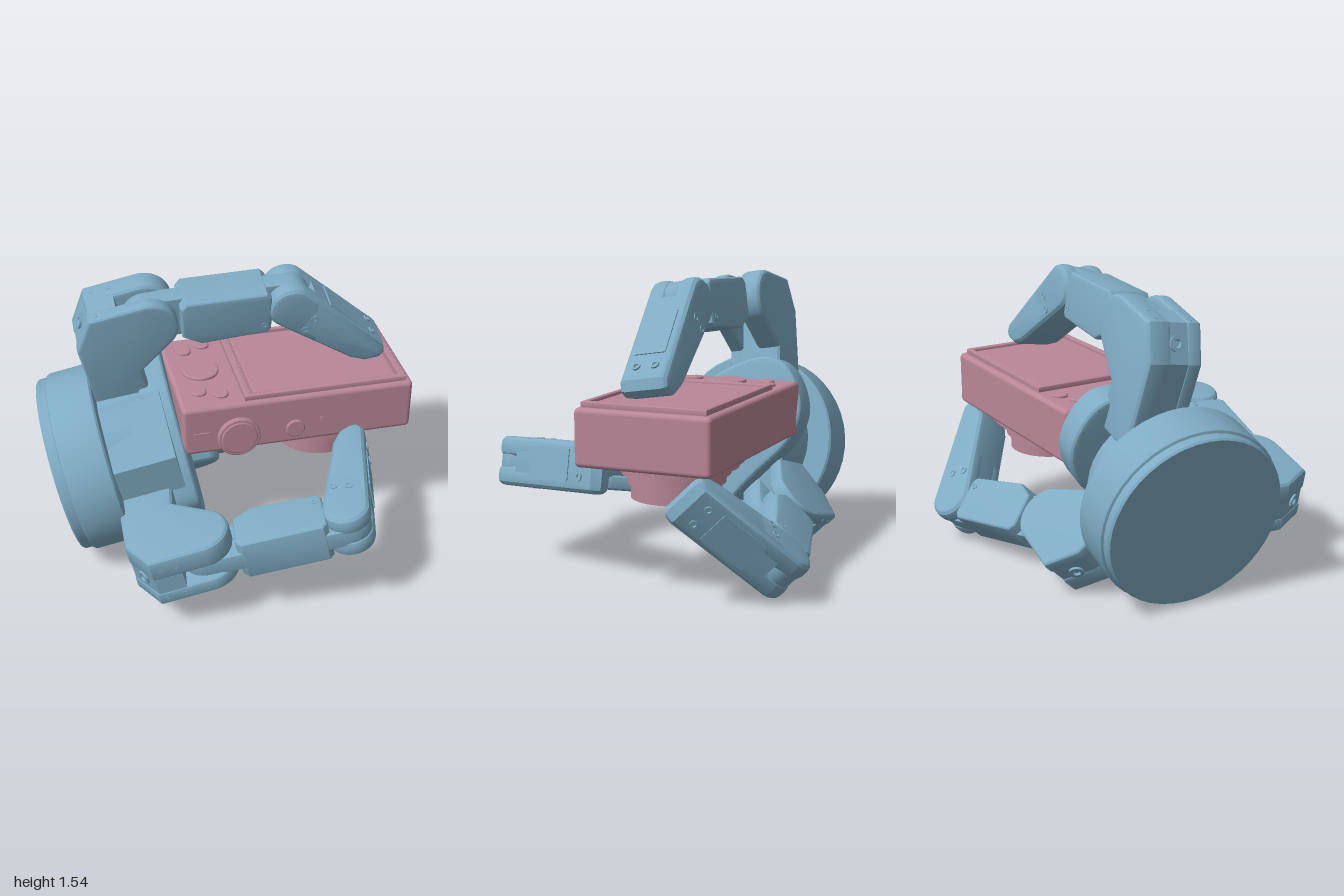
import * as THREE from 'three';
import { toCreasedNormals } from 'three/addons/utils/BufferGeometryUtils.js';
import { RoundedBoxGeometry } from 'three/addons/geometries/RoundedBoxGeometry.js';

const blue = new THREE.MeshStandardMaterial({ color: 0x7fabc3 });
const pink = new THREE.MeshStandardMaterial({ color: 0xb98797 });
const V = (x, y, z) => new THREE.Vector3(x, y, z);
const AXIS = V(0.972, 0.222, 0.07).normalize(); // direction the hand points

function add(parent, name, geo, mat, x = 0, y = 0, z = 0) {
  const m = new THREE.Mesh(geo, mat);
  m.name = name;
  m.position.set(x, y, z);
  parent.add(m);
  return m;
}

// Frame with x along the hand axis and y along the given outward direction
function frame(name, origin, out) {
  const g = new THREE.Group();
  g.name = name;
  const u = out.clone().addScaledVector(AXIS, -out.dot(AXIS)).normalize();
  const w = AXIS.clone().cross(u);
  g.quaternion.setFromRotationMatrix(new THREE.Matrix4().makeBasis(AXIS, u, w));
  g.position.copy(origin);
  return g;
}

const poly = (pts) => new THREE.Shape(pts.map(([x, y]) => new THREE.Vector2(x, y)));

// Bevelled plate between z0 and z1, outline kept at full size
function plate(shape, z0, z1, bevel = 0.02) {
  const geo = new THREE.ExtrudeGeometry(shape, {
    depth: z1 - z0 - 2 * bevel, bevelEnabled: bevel > 0, bevelThickness: bevel,
    bevelSize: bevel, bevelOffset: -bevel, bevelSegments: 3, curveSegments: 16,
  });
  geo.translate(0, 0, z0 + bevel);
  return toCreasedNormals(geo, 0.5);
}

function lathe(pts, segments) {
  const geo = new THREE.LatheGeometry(pts.map(([r, y]) => new THREE.Vector2(r, y)), segments);
  return toCreasedNormals(geo, 0.5);
}

// Screw head with a recessed centre, facing +y
const screwGeo = lathe([[0.022, -0.02], [0.022, 0.006], [0.012, 0.006], [0.009, -0.002], [0, -0.002]], 14);

function knuckleShape() {
  const s = poly([[-0.28, 0.155], [-0.385, -0.02], [-0.39, -0.5], [-0.08, -0.5], [-0.1, -0.26]]);
  s.absarc(0, 0, 0.155, -0.87, Math.PI / 2, false);
  return s;
}

// Rounded hinge ear of the fingertip
function earShape() {
  const s = poly([[0, -0.125], [0.26, -0.12], [0.26, 0.092]]);
  s.absarc(0, 0, 0.125, Math.PI / 2, Math.PI * 1.5, false);
  return s;
}

function capsule(length, r0, r1) {
  const s = new THREE.Shape();
  s.absarc(0, 0, r0, Math.PI / 2, Math.PI * 1.5, false);
  s.absarc(length, 0, r1, -Math.PI / 2, Math.PI / 2, false);
  return s;
}

// Three-part finger: forked knuckle, middle link and forked fingertip
function finger(name, pivot, out, linkAngle, tipAngle) {
  const LEN = 0.75;
  const f = frame(name, pivot, out);
  add(f, 'knuckleMotorSide', plate(knuckleShape(), -0.178, -0.04, 0.03), blue);
  add(f, 'knuckleThinSide', plate(knuckleShape(), 0.04, 0.125), blue);
  add(f, 'knuckleCore', plate(poly([[-0.275, 0.15], [-0.38, -0.02], [-0.385, -0.49],
    [-0.085, -0.49], [-0.1, -0.26], [-0.13, 0.15]]), -0.1, 0.1, 0), blue);
  for (const [x, w] of [[-0.24, -0.11], [-0.24, 0.08], [-0.15, -0.11], [-0.15, 0.08]])
    add(f, 'knuckleScrew', screwGeo, blue, x, 0.153, w).scale.setScalar(0.6);
  const cap = add(f, 'knuckleCap', screwGeo, blue, -0.33, 0.065, -0.02);
  cap.rotation.z = 1.04;
  cap.scale.setScalar(1.8);

  const link = new THREE.Group();
  link.name = 'middleLink';
  link.rotation.z = linkAngle;
  f.add(link);
  add(link, 'linkTongue', plate(capsule(LEN, 0.118, 0.115), -0.05, 0.05, 0.005), blue);
  add(link, 'linkBody', plate(poly([[0.17, -0.09], [0.27, -0.15], [0.62, -0.135], [0.64, -0.11],
    [0.645, 0.09], [0.62, 0.118], [0.2, 0.124], [0.17, 0.09]]), -0.118, 0.118, 0.018), blue);
  for (const side of [-1, 1]) {
    const bolt = add(link, 'linkScrew', screwGeo, blue, 0.6, -0.08, side * 0.116);
    bolt.rotation.x = side * Math.PI / 2;
    bolt.scale.setScalar(0.8);
  }

  const tip = new THREE.Group();
  tip.name = 'fingertip';
  tip.position.x = LEN;
  tip.rotation.z = tipAngle - linkAngle;
  link.add(tip);
  for (const side of [-1, 1]) {
    add(tip, 'tipEar', plate(earShape(), side > 0 ? 0.02 : -0.13, side > 0 ? 0.13 : -0.02, 0.038), blue);
    for (const t of [-0.07, 0.01])
      add(tip, 'tipSideScrew', screwGeo, blue, 0.14, t, side * 0.128).rotation.x = side * Math.PI / 2;
    const head = add(tip, 'tipPadScrew', screwGeo, blue, 0.53, 0.06, side * 0.05);
    head.rotation.z = -0.13;
  }
  add(tip, 'tipBody', plate(poly([[0.08, -0.122], [0.5, -0.115], [0.59, -0.09], [0.645, -0.035],
    [0.65, 0.01], [0.61, 0.048], [0.08, 0.114]]), -0.13, 0.13, 0.038), blue);
  const cover = add(tip, 'tipCover', new THREE.BoxGeometry(0.27, 0.02, 0.17), blue, 0.32, 0.08, 0);
  cover.rotation.z = -0.13;
  return f;
}

function handBase() {
  const h = frame('handBase', V(-0.895, 0.467, -0.15), V(0, 1, 0));
  const disc = lathe([[0, 0], [0.47, 0], [0.478, 0.01], [0.478, 0.055], [0.49, 0.06],
    [0.495, 0.07], [0.495, 0.285], [0.485, 0.295], [0, 0.295]], 44);
  add(h, 'wristDisc', disc, blue).rotation.z = -Math.PI / 2;
  const core = new THREE.CylinderGeometry(0.34, 0.36, 0.3, 40);
  add(h, 'palmCore', core, blue, 0.42, 0, 0).rotation.z = -Math.PI / 2;

  // Rounded three-cornered palm plate
  const outline = new THREE.CatmullRomCurve3([[-0.11, -0.48], [0, -0.44], [0.2, -0.22], [0.41, 0.02],
    [0.45, 0.2], [0.34, 0.41], [0.19, 0.45], [-0.14, 0.29], [-0.28, 0.11], [-0.36, -0.08], [-0.38, -0.22],
    [-0.22, -0.43]].map(([x, y]) => V(x, y, 0)), true, 'centripetal');
  const palm = new THREE.Shape(outline.getPoints(66).slice(0, -1).map((p) => new THREE.Vector2(p.x, p.y)));
  add(h, 'palmPlate', plate(palm, 0.52, 0.685, 0.025), blue).rotation.y = Math.PI / 2;

  // Faceted housing beside the palm
  const housing = poly([[-0.12, 0.35], [-0.39, 0.13], [-0.37, -0.09], [0, -0.09], [0.05, 0.33]]);
  add(h, 'palmHousing', plate(housing, 0.22, 0.63, 0), blue).rotation.y = Math.PI / 2;
  return h;
}

function camera() {
  const c = new THREE.Group();
  c.name = 'compactCamera';
  const Z = -0.18;
  add(c, 'cameraBody', new RoundedBoxGeometry(1.26, 0.29, 0.71, 3, 0.025), pink, 0.35, 0.793, Z);

  // Screen with a raised frame
  const rim = new THREE.Shape();
  const rect = (p, x0, y0, x1, y1) => p.moveTo(x0, y0).lineTo(x1, y0).lineTo(x1, y1).lineTo(x0, y1).closePath();
  rect(rim, 0.06, -0.15, 0.945, 0.5);
  const hole = new THREE.Path();
  rect(hole, 0.1, -0.12, 0.91, 0.475);
  rim.holes.push(hole);
  add(c, 'screenFrame', plate(rim, 0.93, 0.967, 0.008), pink).rotation.x = -Math.PI / 2;
  add(c, 'screen', new RoundedBoxGeometry(0.785, 0.04, 0.57, 2, 0.008), pink, 0.505, 0.937, -0.178);

  // Controls on the upper face
  const button = (name, r, h, x, z) =>
    add(c, name, lathe([[r, -0.02], [r, h - 0.005], [r - 0.006, h], [0, h]], 28), pink, x, 0.936, z);
  for (const [x, z] of [[-0.16, -0.39], [-0.05, -0.435], [-0.16, 0.02], [-0.05, 0.06]])
    button('button', 0.04, 0.016, x, z);
  button('controlDial', 0.1, 0.018, -0.11, -0.185);

  // Controls on the +z face
  for (const [r, h, x] of [[0.115, 0.028, 0.02], [0.098, 0.034, 0.02], [0.052, 0.016, 0.33]]) {
    const dial = lathe([[r, -0.02], [r, h - 0.005], [r - 0.006, h], [0, h]], 36);
    add(c, 'sideDial', dial, pink, x, 0.742, 0.172).rotation.x = Math.PI / 2;
  }
  add(c, 'switch', new THREE.BoxGeometry(0.085, 0.035, 0.02), pink, -0.175, 0.768, 0.17);
  add(c, 'slider', new THREE.BoxGeometry(0.018, 0.045, 0.02), pink, 0.475, 0.768, 0.17);
  add(c, 'lowerLamp', new THREE.CylinderGeometry(0.025, 0.025, 0.03, 20), pink, 0.155, 0.648, 0.09);

  // Stepped lens barrel pointing down, slightly dished at its end
  add(c, 'lensBarrel', lathe([[0, 0.465], [0.12, 0.468], [0.2, 0.462], [0.205, 0.45], [0.228, 0.45], [0.228, 0.53],
    [0.25, 0.53], [0.25, 0.575], [0.275, 0.575], [0.275, 0.605], [0.315, 0.61], [0.315, 0.635],
    [0.34, 0.638], [0.34, 0.66]], 48), pink, 0.55, 0, -0.175);
  return c;
}

export function createModel() {
  const model = new THREE.Group();
  model.name = 'gripperHoldingCamera';
  model.add(
    handBase(),
    finger('topFinger', V(-0.4, 1.347, -0.145), V(0, 0.985, 0.155), -0.17, -0.84),
    finger('frontFinger', V(-0.262, 0.365, 0.638), V(0, -0.005, 1), 0.085, -1.25),
    finger('backFinger', V(-0.128, 0.265, -0.51), V(0, -0.7, -0.7), 0.5, -0.69),
    camera(),
  );
  return model;
}
